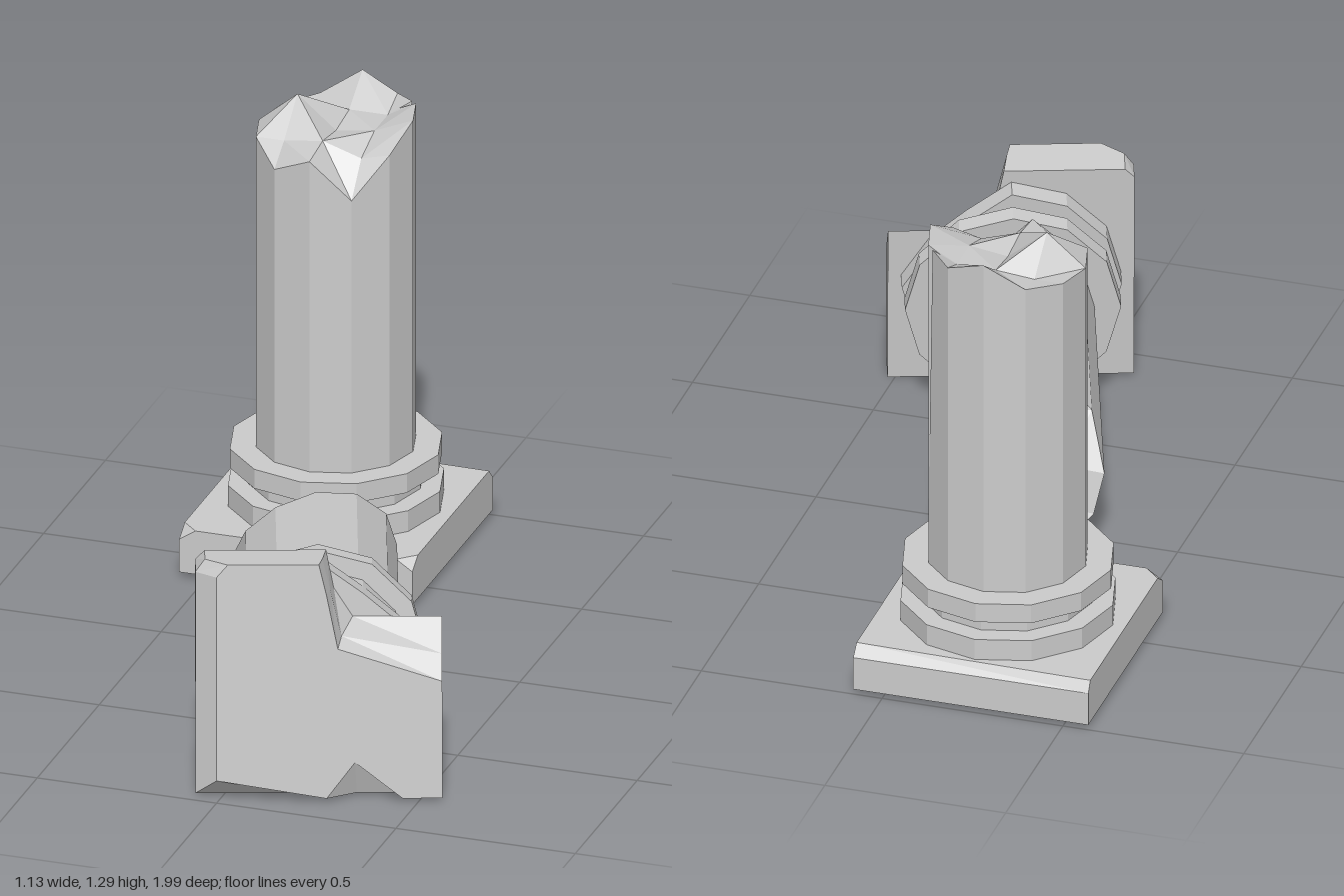
import * as THREE from 'three';

const SIDES = 12, R = 0.215;
const stone = new THREE.MeshStandardMaterial({ color: 0xcccccc, flatShading: true, side: THREE.DoubleSide });

const polar = (r, y, deg) => {
  const a = THREE.MathUtils.degToRad(deg);
  return new THREE.Vector3(r * Math.cos(a), y, r * Math.sin(a));
};

// Collects triangles and quads into a faceted mesh
function facets(name, build) {
  const pts = [];
  const tri = (...p) => pts.push(...p);
  const quad = (a, b, c, d) => pts.push(a, b, c, a, c, d);
  build(tri, quad);
  const geo = new THREE.BufferGeometry().setFromPoints(pts);
  geo.computeVertexNormals();
  const mesh = new THREE.Mesh(geo, stone);
  mesh.name = name;
  return mesh;
}

// Skins a stack of outlines: layers = [[height, [[x, z], ...]], ...]
function loft(name, layers, openBottom = false) {
  return facets(name, (tri, quad) => {
    const loops = layers.map(([y, pts]) => pts.map(([x, z]) => new THREE.Vector3(x, y, z)));
    for (let k = 0; k + 1 < loops.length; k++) {
      const lo = loops[k], hi = loops[k + 1], n = lo.length;
      for (let i = 0; i < n; i++) quad(lo[i], hi[i], hi[(i + 1) % n], lo[(i + 1) % n]);
    }
    const cap = (loop, up) => {
      const flat = loop.map(p => new THREE.Vector2(p.x, p.z));
      for (const [a, b, c] of THREE.ShapeUtils.triangulateShape(flat, [])) {
        if (up) tri(loop[a], loop[c], loop[b]);
        else tri(loop[a], loop[b], loop[c]);
      }
    };
    cap(loops.at(-1), true);
    if (!openBottom) cap(loops[0], false);
  });
}

// Twelve-sided ring; chips maps a corner number to a smaller radius
function ring(name, r, y0, y1, chips = {}) {
  const outline = Array.from({ length: SIDES }, (_, i) => {
    const p = polar(chips[i] ?? r, 0, i * 30);
    return [p.x, p.z];
  });
  return loft(name, [[y0, outline], [y1, outline]]);
}

// Shaft with a jagged top: rim has 12 heights, inner has 8 plus the centre
function brokenShaft(rim, inner, centre, cracked) {
  return facets('shaft', (tri, quad) => {
    const low = rim.map((_, i) => polar(R, 0.2, i * 30));
    const top = rim.map((h, i) => polar(R, h, i * 30));
    const mid = inner.map((h, i) => polar(R * (i % 2 ? Math.SQRT1_2 : 0.5), h, i * 45));
    const O = new THREE.Vector3(0, centre, 0);

    // Crack running down beside corner 11
    const tip = polar(R, 0.4, 330);
    const lip = top[10].clone().lerp(top[11], 0.78);
    const deep = new THREE.Vector3(R * 0.6, top[11].y - 0.03, -R * 0.56);

    for (let i = 0; i < SIDES; i++) {
      const j = (i + 1) % SIDES;
      if (cracked && i === 10) {
        tri(low[10], top[10], lip);
        tri(low[10], lip, tip);
        tri(low[10], tip, low[11]);
        tri(tip, lip, deep);
        tri(tip, deep, top[11]);
      } else quad(low[i], top[i], top[j], low[j]);
    }
    // Broken end, one quadrant at a time
    for (let q = 0; q < 4; q++) {
      const A = top[3 * q], B = top[3 * q + 1], C = top[3 * q + 2], D = top[(3 * q + 3) % SIDES];
      const M = mid[2 * q], K = mid[2 * q + 1], N = mid[(2 * q + 2) % 8];
      quad(K, B, A, M);
      quad(N, D, C, K);
      quad(N, K, M, O);
      if (cracked && q === 3) {
        tri(K, lip, B);
        tri(K, deep, lip);
        tri(K, C, deep);
      } else tri(K, C, B);
    }
  });
}

function column(name, plinth, shaft, chips) {
  const g = new THREE.Group();
  g.name = name;
  g.add(
    plinth,
    ring('lowerRing', 0.29, 0.125, 0.185, chips),
    ring('neck', 0.235, 0.185, 0.235),
    ring('upperRing', 0.285, 0.235, 0.29),
    shaft
  );
  return g;
}

export function createModel() {
  const model = new THREE.Group();
  model.name = 'ruinedColumns';

  // Square plinth, hollow below, with front corners and back edge chipped
  const s = 0.325;
  const square = (c, back) => [
    [s, -s + back], [s, s - c], [s - c, s], [-s + c, s], [-s, s - c], [-s, -s + back * 0.6]
  ];
  const standing = column(
    'standingColumn',
    loft('plinth', [[0, square(0, 0)], [0.095, square(0, 0)], [0.125, square(0.045, 0.03)]], true),
    brokenShaft(
      [1.245, 1.185, 1.075, 1.185, 1.135, 1.185, 1.185, 1.19, 1.2, 1.27, 1.23, 1.245],
      [1.2, 1.165, 1.2, 1.185, 1.275, 1.19, 1.2, 1.2], 1.185, true
    )
  );
  standing.position.set(-0.245, 0.015, -0.675);
  model.add(standing);

  // Plinth with one corner broken away and a nick in its lower edge
  const brokenPlinth = loft('brokenPlinth', [
    [0, [[-0.27, -0.275], [0.02, -s], [0.095, -0.225], [0.22, -s], [s, -s], [s, 0],
      [0.05, 0.09], [0.02, 0.24], [0, s], [-0.24, s], [-0.27, 0.29]]],
    [0.05, [[-s, -s], [0.02, -s], [0.1, -s], [0.22, -s], [s, -s], [s, 0.06],
      [0.06, 0.11], [0.03, 0.24], [0.01, s], [-0.3, s], [-s, 0.29]]],
    [0.125, [[-s, -s], [0.02, -s], [0.1, -s], [0.22, -s], [s, -s], [s, 0.14],
      [0.09, 0.14], [0.04, 0.22], [0.02, s], [-0.3, s], [-s, 0.3]]]
  ]);
  const fallen = column(
    'fallenColumn',
    brokenPlinth,
    brokenShaft(
      [1.13, 1.07, 1.0, 0.93, 0.89, 0.93, 1.07, 1.1, 1.13, 1.13, 1.13, 1.13],
      [1.08, 1.0, 0.95, 0.93, 1.03, 1.07, 1.08, 1.09], 1.02, false
    ),
    { 1: 0.245, 2: 0.235 }
  );
  // Lies on its side, pointing back, to the right and slightly down
  const yaw = THREE.MathUtils.degToRad(19.5), dip = THREE.MathUtils.degToRad(5.5);
  const axis = new THREE.Vector3(
    -Math.sin(yaw) * Math.cos(dip), -Math.sin(dip), -Math.cos(yaw) * Math.cos(dip));
  const across = new THREE.Vector3(Math.cos(yaw), 0, -Math.sin(yaw));
  const upward = across.clone().cross(axis);
  fallen.quaternion.setFromRotationMatrix(new THREE.Matrix4().makeBasis(across, axis, upward));
  fallen.position.set(0.244, 0.336, 0.88);
  model.add(fallen);

  return model;
}
